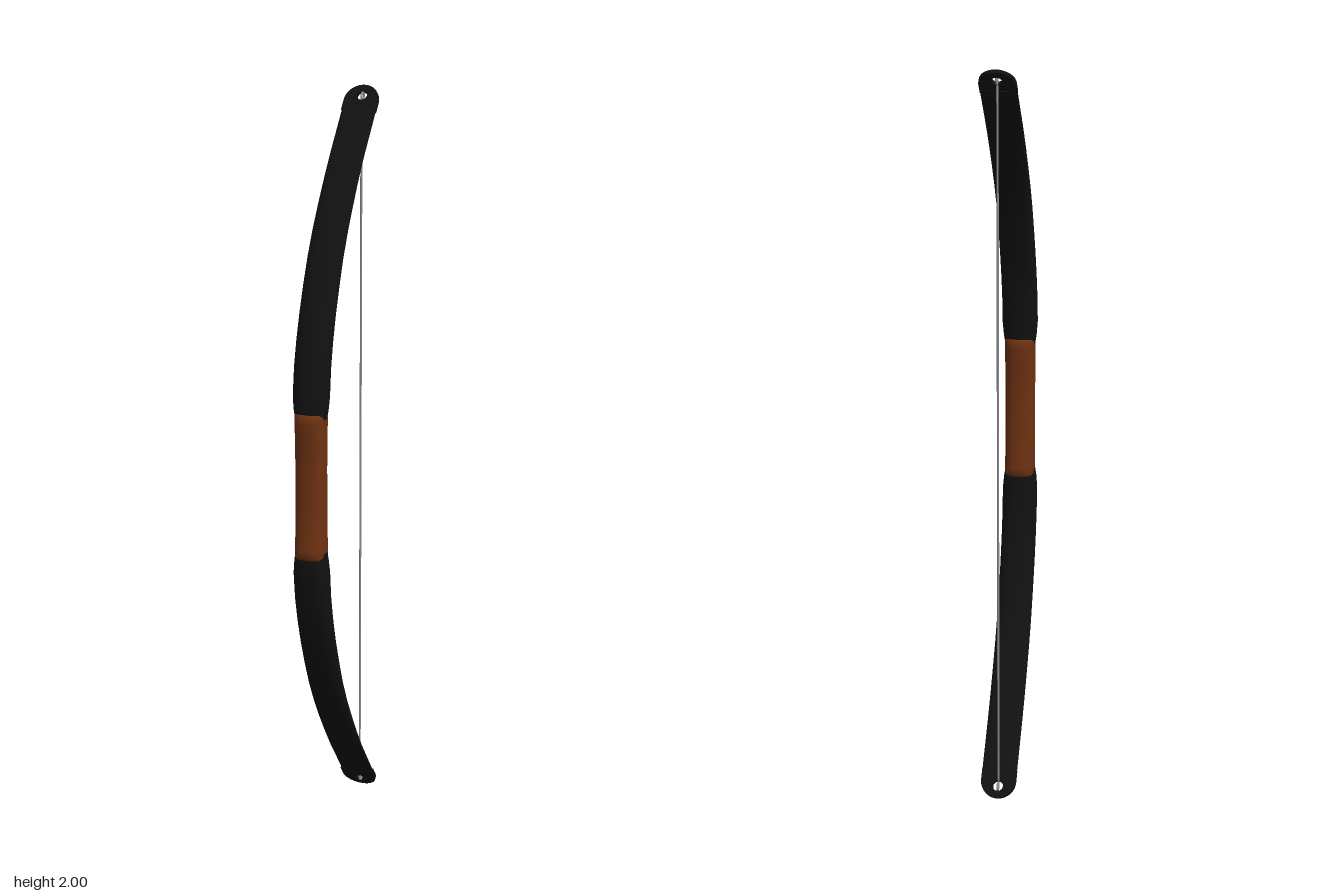
import * as THREE from 'three';

const SIDES = 20;

// Lofts rounded sections [y, z, halfWidth, halfThickness] along a path in the yz plane
function loft(sections) {
  const pos = [], idx = [];
  const n = sections.length;
  const pow = (v) => Math.sign(v) * Math.pow(Math.abs(v), 0.8);
  const ring = ([y, z, w, t], i) => {
    const p = sections[Math.max(i - 1, 0)], q = sections[Math.min(i + 1, n - 1)];
    const len = Math.hypot(q[0] - p[0], q[1] - p[1]);
    const ty = (q[0] - p[0]) / len, tz = (q[1] - p[1]) / len;
    for (let j = 0; j < SIDES; j++) {
      const a = (j / SIDES) * Math.PI * 2;
      const d = t * pow(Math.sin(a));
      pos.push(w * pow(Math.cos(a)), y - tz * d, z + ty * d);
    }
  };
  sections.forEach(ring);
  for (let i = 0; i < n - 1; i++) {
    for (let j = 0; j < SIDES; j++) {
      const k = (j + 1) % SIDES;
      const a = i * SIDES + j, b = i * SIDES + k, c = a + SIDES, d = b + SIDES;
      idx.push(a, c, b, b, c, d);
    }
  }
  // end caps with their own vertices, so the rims stay sharp
  for (const end of [0, n - 1]) {
    const start = pos.length / 3;
    ring(sections[end], end);
    const centre = pos.length / 3;
    pos.push(0, sections[end][0], sections[end][1]);
    for (let j = 0; j < SIDES; j++) {
      const a = start + j, b = start + (j + 1) % SIDES;
      if (end === 0) idx.push(centre, a, b);
      else idx.push(centre, b, a);
    }
  }
  const g = new THREE.BufferGeometry();
  g.setAttribute('position', new THREE.Float32BufferAttribute(pos, 3));
  g.setIndex(idx);
  g.computeVertexNormals();
  return g;
}

function add(parent, name, geometry, material) {
  const mesh = new THREE.Mesh(geometry, material);
  mesh.name = name;
  parent.add(mesh);
  return mesh;
}

export function createModel() {
  const model = new THREE.Group();
  model.name = 'bow';
  const black = new THREE.MeshStandardMaterial({ color: 0x111111 });
  black.name = 'black limb';
  const leather = new THREE.MeshStandardMaterial({ color: 0x6e3212 });
  leather.name = 'brown leather';
  const grey = new THREE.MeshStandardMaterial({ color: 0x8c8c8c });
  grey.name = 'grey string';

  // grip, waisted in the middle; heights are measured from the bow's centre
  const gripRows = [[0.197, 0.038], [0.19, 0.045], [0.172, 0.047], [0.11, 0.039], [0.05, 0.035]];
  const grip = add(model, 'grip', loft([
    ...gripRows.map(([y, t]) => [-y, 0.183, 0.041, t]),
    ...gripRows.slice().reverse().map(([y, t]) => [y, 0.183, 0.041, t]),
  ]), leather);
  grip.position.y = 1;

  // limb, thinning toward the tip
  const limbGeometry = loft([
    [0.18, 0.183, 0.041, 0.035], [0.205, 0.183, 0.045, 0.037], [0.24, 0.181, 0.048, 0.038],
    [0.314, 0.172, 0.048, 0.036], [0.38, 0.156, 0.048, 0.033], [0.446, 0.135, 0.048, 0.03],
    [0.515, 0.108, 0.048, 0.027], [0.585, 0.077, 0.048, 0.023], [0.65, 0.041, 0.048, 0.02],
    [0.71, 0.002, 0.048, 0.017], [0.77, -0.04, 0.048, 0.013], [0.83, -0.086, 0.048, 0.01],
    [0.942, -0.1815, 0.048, 0.007],
  ]);

  // rounded tip plate with the string hole; its far end is at local y = 0
  const R = 0.048;
  const tipShape = new THREE.Shape();
  tipShape.moveTo(-R, -0.08);
  tipShape.lineTo(R, -0.08);
  tipShape.lineTo(R, -R);
  tipShape.absarc(0, -R, R, 0, Math.PI, false);
  tipShape.closePath();
  const hole = new THREE.Path();
  hole.absarc(0, -0.033, 0.014, 0, Math.PI * 2, true);
  tipShape.holes.push(hole);
  const tipGeometry = new THREE.ExtrudeGeometry(tipShape, {
    depth: 0.011, bevelEnabled: false, curveSegments: 16,
  });
  tipGeometry.translate(0, 0, -0.0055);

  // upper half, and the same turned half a circle for the lower
  for (const [name, turn] of [['upper', 0], ['lower', Math.PI]]) {
    const half = new THREE.Group();
    half.name = name + 'Half';
    half.position.y = 1;
    half.rotation.z = turn;
    add(half, name + 'Limb', limbGeometry, black);
    const tip = add(half, name + 'Tip', tipGeometry, black);
    tip.position.set(0, 0.996, -0.227);
    tip.rotation.x = -0.71;
    const loop = add(half, name + 'StringLoop', new THREE.TorusGeometry(0.01, 0.003, 8, 20), grey);
    loop.rotation.y = Math.PI / 2;
    loop.position.set(0, 0.971, -0.207);
    model.add(half);
  }

  // string
  const string = add(model, 'string', new THREE.CylinderGeometry(0.003, 0.003, 1.942, 8), grey);
  string.position.set(0, 1, -0.198);
  return model;
}
